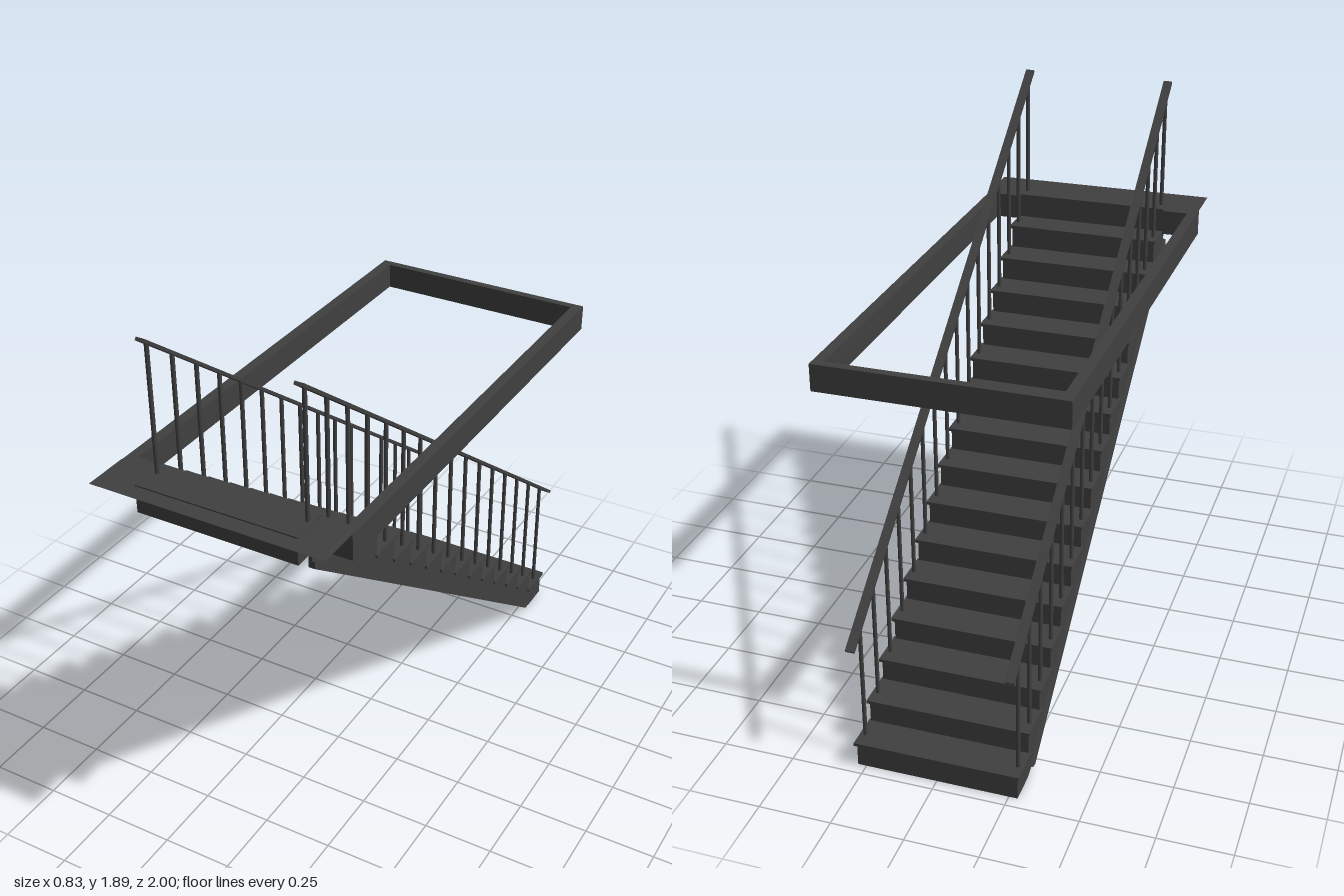
import * as THREE from 'three';

export function createModel() {
  const root = new THREE.Group();
  root.name = 'staircase';
  const mat = new THREE.MeshStandardMaterial({ color: 0x404040 });
  const thin = new THREE.MeshStandardMaterial({ color: 0x404040, side: THREE.DoubleSide });

  const add = (name, geo, x = 0, y = 0, z = 0, m = mat, parent = root) => {
    const mesh = new THREE.Mesh(geo, m);
    mesh.name = name;
    mesh.position.set(x, y, z);
    parent.add(mesh);
    return mesh;
  };
  // box given by its lower and upper limits
  const block = (name, x0, x1, y0, y1, z0, z1) =>
    add(name, new THREE.BoxGeometry(x1 - x0, y1 - y0, z1 - z0), (x0 + x1) / 2, (y0 + y1) / 2, (z0 + z1) / 2);

  const STEPS = 16, RISE = 0.0883, RUN = 0.1182;
  const treadTop = i => 0.094 + i * RISE;
  const riserZ = i => -0.958 + i * RUN;

  // treads with a small nosing, and the risers beneath them
  for (let i = 0; i < STEPS; i++) {
    const top = treadTop(i), z = riserZ(i);
    block('tread', -0.287, 0.287, top - 0.011, top, z - 0.012, z + 0.128);
    block('riser', -0.275, 0.275, top - RISE - (i ? 0.004 : 0.0057), top - 0.011, z, z + 0.008);
  }

  // saw-toothed stringer outline, drawn in (z, y)
  const END = 0.857, slope = RISE / RUN;
  const outline = new THREE.Shape();
  outline.moveTo(riserZ(0), 0);
  for (let i = 0; i < STEPS; i++) {
    const y = treadTop(i) - 0.008;
    outline.lineTo(riserZ(i), y);
    outline.lineTo(i < STEPS - 1 ? riserZ(i + 1) : END, y);
  }
  outline.lineTo(END, 1.255);
  outline.lineTo(-0.8, 0.02);
  outline.lineTo(-0.85, 0);
  const stringerGeo = new THREE.ExtrudeGeometry(outline, { depth: 0.012, bevelEnabled: false });
  stringerGeo.rotateY(-Math.PI / 2); // shape x becomes z, depth runs to -x

  // edge strip along the lower side of each stringer
  const strip = new THREE.Shape([[-0.8, 0.02], [END, 1.255], [END, 1.28], [-0.825, 0.026]]
    .map(p => new THREE.Vector2(...p)));
  const stripGeo = new THREE.ExtrudeGeometry(strip, { depth: 0.012, bevelEnabled: false });
  stripGeo.rotateY(-Math.PI / 2);

  // handrail line
  const railY = z => 0.482 + (z + 0.997) * 0.747;
  const railLength = Math.hypot(1.88, 1.88 * 0.747);

  for (const s of [-1, 1]) {
    add('stringer', stringerGeo, s * 0.274 + 0.006);
    add('stringerEdge', stripGeo, s * 0.284 + 0.006);

    const railing = new THREE.Group();
    railing.name = 'railing';
    root.add(railing);
    const rail = add('handrail', new THREE.BoxGeometry(0.031, 0.011, railLength), s * 0.268, railY(-0.057), -0.057, mat, railing);
    rail.rotation.x = -Math.atan(0.747);
    for (let i = 0; i < STEPS; i++) {
      const z = -0.913 + i * 0.1178, y0 = treadTop(i), y1 = railY(z);
      add('baluster', new THREE.CylinderGeometry(0.0075, 0.0075, y1 - y0, 8), s * 0.268, (y0 + y1) / 2, z, mat, railing);
    }
  }

  // rectangular frame around the stair opening
  const Y0 = 1.32, Y1 = 1.412;
  block('frameSide', -0.417, -0.38, Y0, Y1, -0.857, 0.845);
  block('frameSide', 0.376, 0.413, Y0, Y1, -0.857, 0.845);
  block('frameBack', -0.417, 0.413, Y0, Y1, -0.857, -0.828);
  block('frameFront', -0.417, 0.413, Y0, Y1, 0.803, 0.845);

  // upper landing: thin sheet, with a block carrying the top tread
  const sheet = new THREE.PlaneGeometry(0.83, 0.165);
  sheet.rotateX(-Math.PI / 2);
  add('landing', sheet, -0.002, 1.414, 0.9175, thin);
  block('landingSupport', -0.287, 0.287, Y0, 1.408, 0.845, 0.943);

  return root;
}
